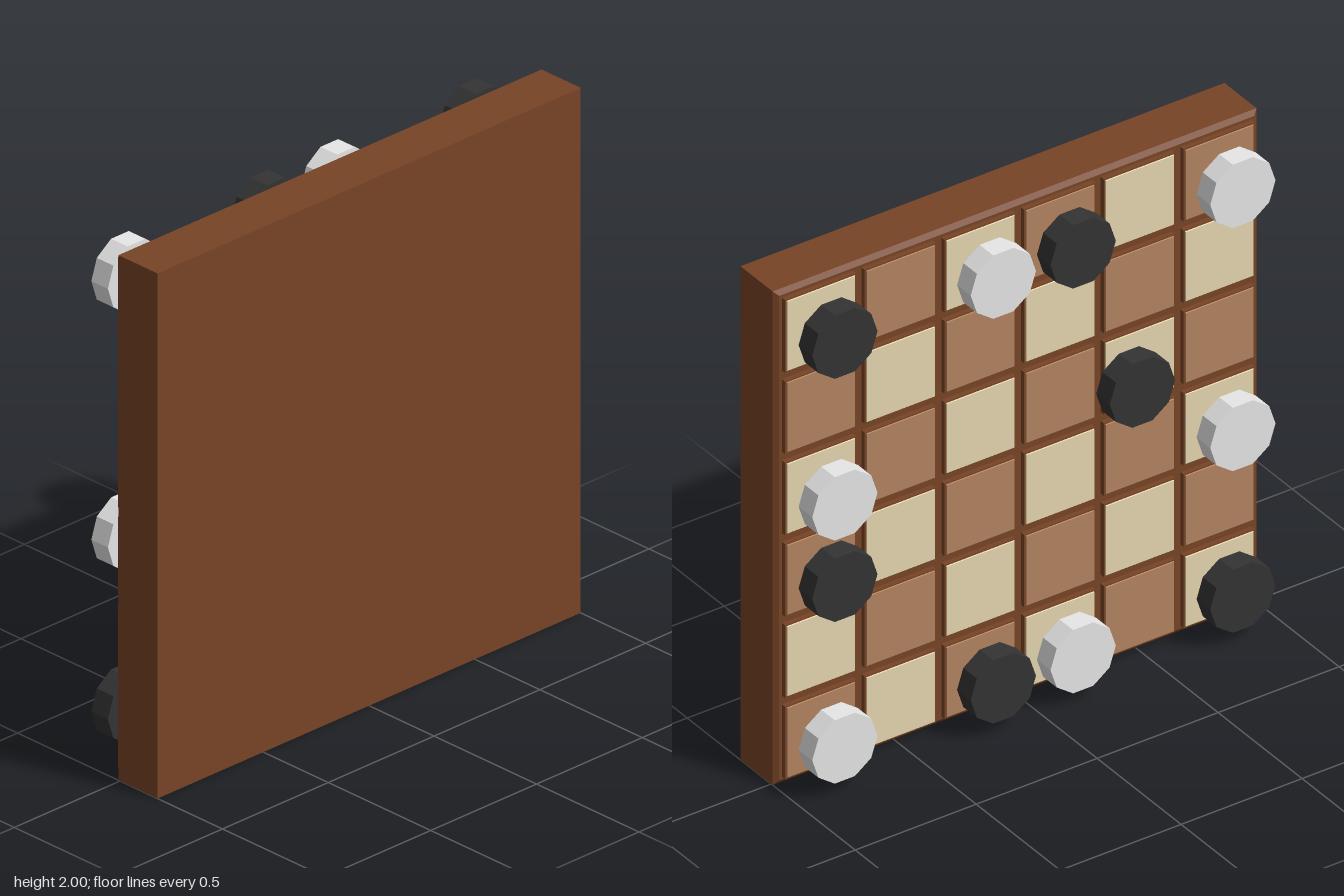
import * as THREE from 'three';

const mat = (name, color) => {
  const m = new THREE.MeshStandardMaterial({ color });
  m.name = name;
  return m;
};

export function createModel() {
  const wood = mat('wood brown', 0x784426);
  const lightTile = mat('light tile', 0xecdcb4);
  const darkTile = mat('dark tile', 0xb48460);
  const black = mat('black piece', 0x343434);
  const white = mat('white piece', 0xf0f0f0);

  const model = new THREE.Group();
  model.name = 'wallCheckerBoard';

  // Square slab between x0 and x1; its -x face is smaller by the bevel
  function slab(name, size, x0, x1, y, z, material, bevel = 0) {
    const g = new THREE.BoxGeometry(x1 - x0, size, size);
    const p = g.attributes.position;
    const k = 1 - (2 * bevel) / size;
    for (let i = 0; i < p.count; i++) {
      if (p.getX(i) < 0) p.setXYZ(i, p.getX(i), p.getY(i) * k, p.getZ(i) * k);
    }
    const flat = g.toNonIndexed();
    flat.computeVertexNormals();
    const mesh = new THREE.Mesh(flat, material);
    mesh.name = name;
    mesh.position.set((x0 + x1) / 2, y, z);
    model.add(mesh);
  }

  // Board with a bevelled playing face
  slab('board', 2, -0.008, 0.183, 1, 0, wood);
  slab('boardBevel', 2, -0.021, -0.008, 1, 0, wood, 0.018);

  // Six by six raised tiles, each a wooden base with a coloured plate
  const pitch = 0.3295;
  for (let row = 0; row < 6; row++) {
    for (let col = 0; col < 6; col++) {
      const y = 1 + (2.5 - row) * pitch;
      const z = (col - 2.5) * pitch;
      slab('tileBase', 0.294, -0.04, -0.02, y, z, wood);
      slab('tilePlate', 0.284, -0.044, -0.039, y, z, (row + col) % 2 ? darkTile : lightTile, 0.002);
    }
  }

  // Ten-sided pieces hovering before the board: [y, z, material]
  const disc = new THREE.CylinderGeometry(0.135, 0.135, 0.081, 10).toNonIndexed();
  disc.rotateZ(Math.PI / 2);
  disc.computeVertexNormals();
  const pieces = [
    [1.82, -0.825, black], [1.165, -0.825, white], [0.835, -0.825, black], [0.18, -0.825, white],
    [1.82, -0.17, white], [0.18, -0.17, black],
    [1.82, 0.16, black], [0.18, 0.16, white],
    [1.165, 0.405, black],
    [1.82, 0.82, white], [0.835, 0.82, white], [0.18, 0.82, black],
  ];
  for (const [y, z, material] of pieces) {
    const mesh = new THREE.Mesh(disc, material);
    mesh.name = material === black ? 'blackPiece' : 'whitePiece';
    mesh.position.set(-0.146, y, z);
    model.add(mesh);
  }

  return model;
}
